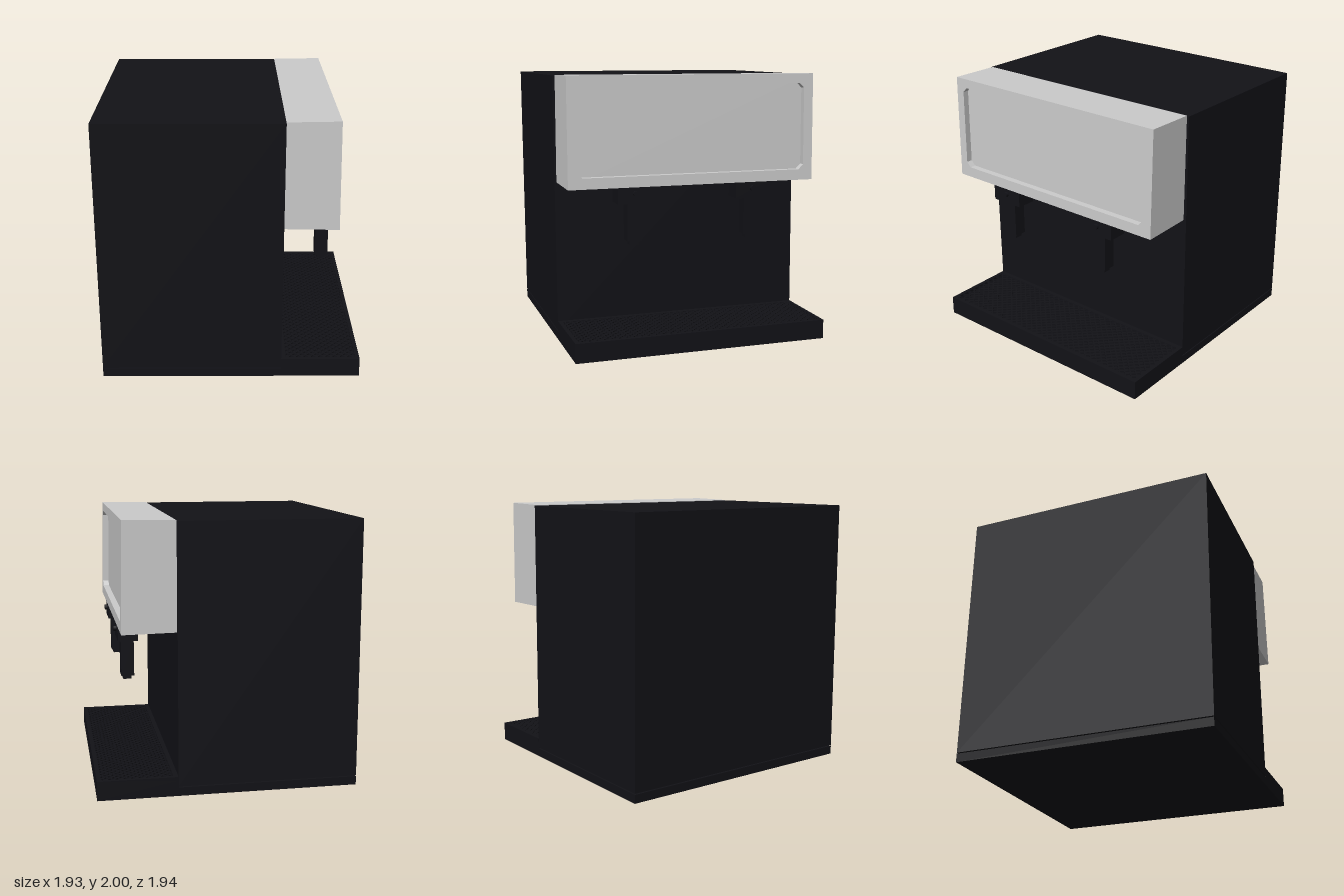
import * as THREE from 'three';

const dark = new THREE.MeshStandardMaterial({ color: 0x121217, flatShading: true });
const grey = new THREE.MeshStandardMaterial({ color: 0xcccccc, flatShading: true });

function add(parent, name, geometry, material) {
  const mesh = new THREE.Mesh(geometry, material);
  mesh.name = name;
  parent.add(mesh);
  return mesh;
}

// Box given by its limits on each axis
function box(x0, x1, y0, y1, z0, z1) {
  return new THREE.BoxGeometry(x1 - x0, y1 - y0, z1 - z0)
    .translate((x0 + x1) / 2, (y0 + y1) / 2, (z0 + z1) / 2);
}

// Move every vertex by a rule
function warp(geometry, rule) {
  const p = geometry.attributes.position;
  const v = new THREE.Vector3();
  for (let i = 0; i < p.count; i++) {
    rule(v.fromBufferAttribute(p, i));
    p.setXYZ(i, v.x, v.y, v.z);
  }
  geometry.computeVertexNormals();
  return geometry;
}

// Rectangle outline with cut corners
function cutRect(Type, u0, u1, v0, v1, c) {
  const points = [[u0 + c, v0], [u1 - c, v0], [u1, v0 + c], [u1, v1 - c],
    [u1 - c, v1], [u0 + c, v1], [u0, v1 - c], [u0, v0 + c]];
  return new Type(points.map(([u, v]) => new THREE.Vector2(u, v)));
}

// Rectangular frame extruded by depth along +z
function frame(outer, inner, cut, depth) {
  const [a, b, c, d] = outer;
  const shape = new THREE.Shape([[a, c], [b, c], [b, d], [a, d]].map(([u, v]) => new THREE.Vector2(u, v)));
  shape.holes.push(cutRect(THREE.Path, ...inner, cut));
  return new THREE.ExtrudeGeometry(shape, { depth, bevelEnabled: false });
}

const Z0 = -0.968, Z1 = 0.958, FRONT = 0.375;

// Cabinet leaning very slightly sideways, above a thin base with a gap
function makeCabinet() {
  const g = new THREE.Group();
  g.name = 'cabinet';
  add(g, 'cabinetBody', warp(box(-0.967, FRONT, 0.072, 1.99, Z0, Z1), v => {
    v.z += 0.013 * v.y / 1.99;
  }), dark);
  add(g, 'basePlate', box(-0.967, FRONT, 0, 0.064, Z0, Z1), dark);
  return g;
}

// Dispensing head with a recessed front panel
function makeHead() {
  const g = new THREE.Group();
  g.name = 'head';
  const lean = v => {
    const t = (v.x - FRONT) / 0.395;
    const h = (v.y - 1.2) / 0.8;
    v.x -= t * h * 0.014;
    v.y += (1 - t) * (0.5 - h) * 0.012;
  };
  add(g, 'headBody', warp(box(FRONT, 0.722, 1.2, 2, -0.938, 0.952), lean), grey);
  const rim = frame([-0.952, 0.938, 1.2, 2], [-0.885, 0.865, 1.28, 1.93], 0.037, 0.048)
    .rotateY(Math.PI / 2).translate(0.722, 0, 0);
  add(g, 'panelRim', warp(rim, lean), grey);
  return g;
}

// Tap: block, spout, hollow tip and front button
function makeTap(z) {
  const g = new THREE.Group();
  g.name = 'tap';
  add(g, 'tapBlock', box(0.615, 0.765, 1.08, 1.203, -0.132, 0.132), dark);
  add(g, 'tapSpout', box(0.641, 0.738, 0.8, 1.08, -0.055, 0.055), dark);
  const tip = frame([0.66, 0.722, -0.034, 0.034], [0.672, 0.71, -0.022, 0.022], 0.006, 0.03);
  add(g, 'spoutTip', tip.rotateX(Math.PI / 2).translate(0, 0.8, 0), dark);
  const button = new THREE.CylinderGeometry(0.02, 0.02, 0.03, 12).rotateZ(Math.PI / 2);
  add(g, 'tapButton', button.translate(0.772, 1.155, 0), dark);
  g.position.z = z;
  return g;
}

// Drip tray with a diamond mesh grate
function makeTray() {
  const g = new THREE.Group();
  g.name = 'dripTray';
  const x0 = 0.41, x1 = 0.935, z0 = Z0 + 0.03, z1 = Z1 - 0.03;
  add(g, 'trayFloor', box(FRONT, 0.965, 0, 0.115, Z0, Z1), dark);
  const rim = frame([FRONT, 0.965, -Z1, -Z0], [x0, x1, -z1, -z0], 0.01, 0.031);
  add(g, 'trayRim', rim.rotateX(-Math.PI / 2).translate(0, 0.114, 0), dark);

  // Diagonal bars clipped to the tray opening
  const w = x1 - x0;
  for (const s of [1, -1]) {
    for (let start = z0 - w; start < z1; start += 0.055) {
      const a = Math.max(0, z0 - start), b = Math.min(w, z1 - start);
      if (b - a < 0.02) continue;
      const bar = add(g, 'grateBar', new THREE.BoxGeometry((b - a) * Math.SQRT2, 0.012, 0.01), dark);
      const mid = (a + b) / 2;
      bar.position.set(s > 0 ? x0 + mid : x1 - mid, 0.137, start + mid);
      bar.rotation.y = -s * Math.PI / 4;
    }
  }
  return g;
}

export function createModel() {
  const model = new THREE.Group();
  model.name = 'drinkDispenser';
  model.add(makeCabinet(), makeHead(), makeTray());
  for (const z of [0.457, -0.452]) model.add(makeTap(z));
  return model;
}
